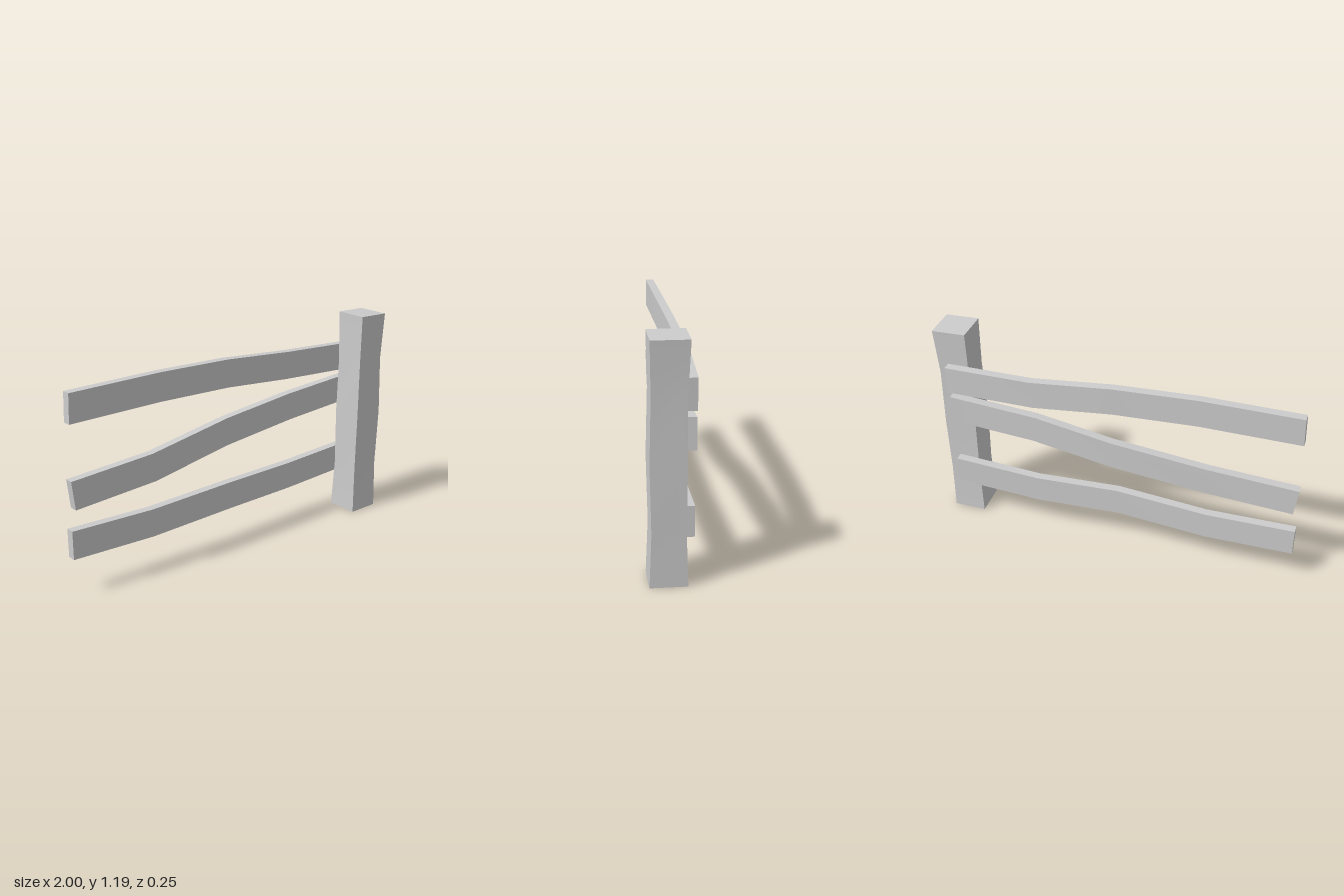
import * as THREE from 'three';
import { toCreasedNormals } from 'three/addons/utils/BufferGeometryUtils.js';

const material = new THREE.MeshStandardMaterial({ color: 0xcccccc, side: THREE.DoubleSide });

// Joins four-cornered rings into a beam; corners run counter-clockwise seen from the far end.
function loft(name, rings, capStart, capEnd) {
  const index = [];
  for (let i = 0; i < rings.length - 1; i++) {
    for (let j = 0; j < 4; j++) {
      const a = i * 4 + j, b = i * 4 + (j + 1) % 4;
      index.push(a, b, b + 4, a, b + 4, a + 4);
    }
  }
  const n = (rings.length - 1) * 4;
  if (capStart) index.push(0, 2, 1, 0, 3, 2);
  if (capEnd) index.push(n, n + 1, n + 2, n, n + 2, n + 3);
  const geometry = new THREE.BufferGeometry();
  geometry.setAttribute('position', new THREE.Float32BufferAttribute(rings.flat(2), 3));
  geometry.setIndex(index);
  const mesh = new THREE.Mesh(toCreasedNormals(geometry, 0.5), material);
  mesh.name = name;
  return mesh;
}

// Warped plank along x; each station is [x, top y, front z, lean of the cut].
function rail(name, stations) {
  const height = 0.155, thickness = 0.046;
  const rings = stations.map(([x, top, front, lean = 0]) => {
    const bottom = top - height, back = front - thickness;
    return [[x + lean, bottom, front], [x + lean, bottom, back], [x, top, back], [x, top, front]];
  });
  return loft(name, rings, true, true);
}

// Rough post, open underneath; each level is [y, left x, right x, back z, front z].
function post() {
  const levels = [
    [0, 0.805, 0.985, -0.056, 0.125],
    [0.27, 0.814, 0.985, -0.046, 0.116],
    [0.6, 0.81, 0.99, -0.047, 0.125],
    [0.92, 0.818, 0.985, -0.046, 0.119],
    [1.187, 0.816, 1.0, -0.056, 0.125],
  ];
  const rings = levels.map(([y, x0, x1, z0, z1], i) => {
    const yr = i === levels.length - 1 ? y - 0.007 : y; // slightly sloping top
    return [[x0, y, z1], [x1, yr, z1], [x1, yr, z0], [x0, y, z0]];
  });
  return loft('post', rings, false, true);
}

export function createModel() {
  const group = new THREE.Group();
  group.name = 'fence';
  group.add(
    post(),
    rail('topRail', [
      [-0.978, 1.07, -0.053, -0.006], [-0.45, 1.07, -0.053], [0, 1.052, -0.062],
      [0.44, 1.011, -0.076, -0.01], [0.93, 0.99, -0.053, -0.005],
    ]),
    rail('middleRail', [
      [-0.993, 0.625, -0.052, 0.017], [-0.51, 0.65, -0.052, 0.015], [0, 0.72, -0.076, 0.01],
      [0.43, 0.775, -0.054, 0.015], [0.92, 0.805, -0.051, 0.01],
    ]),
    rail('bottomRail', [
      [-1, 0.36, -0.059], [-0.52, 0.343, -0.05], [-0.02, 0.365, -0.03],
      [0.44, 0.357, -0.05], [0.925, 0.378, -0.046],
    ]),
  );
  return group;
}
